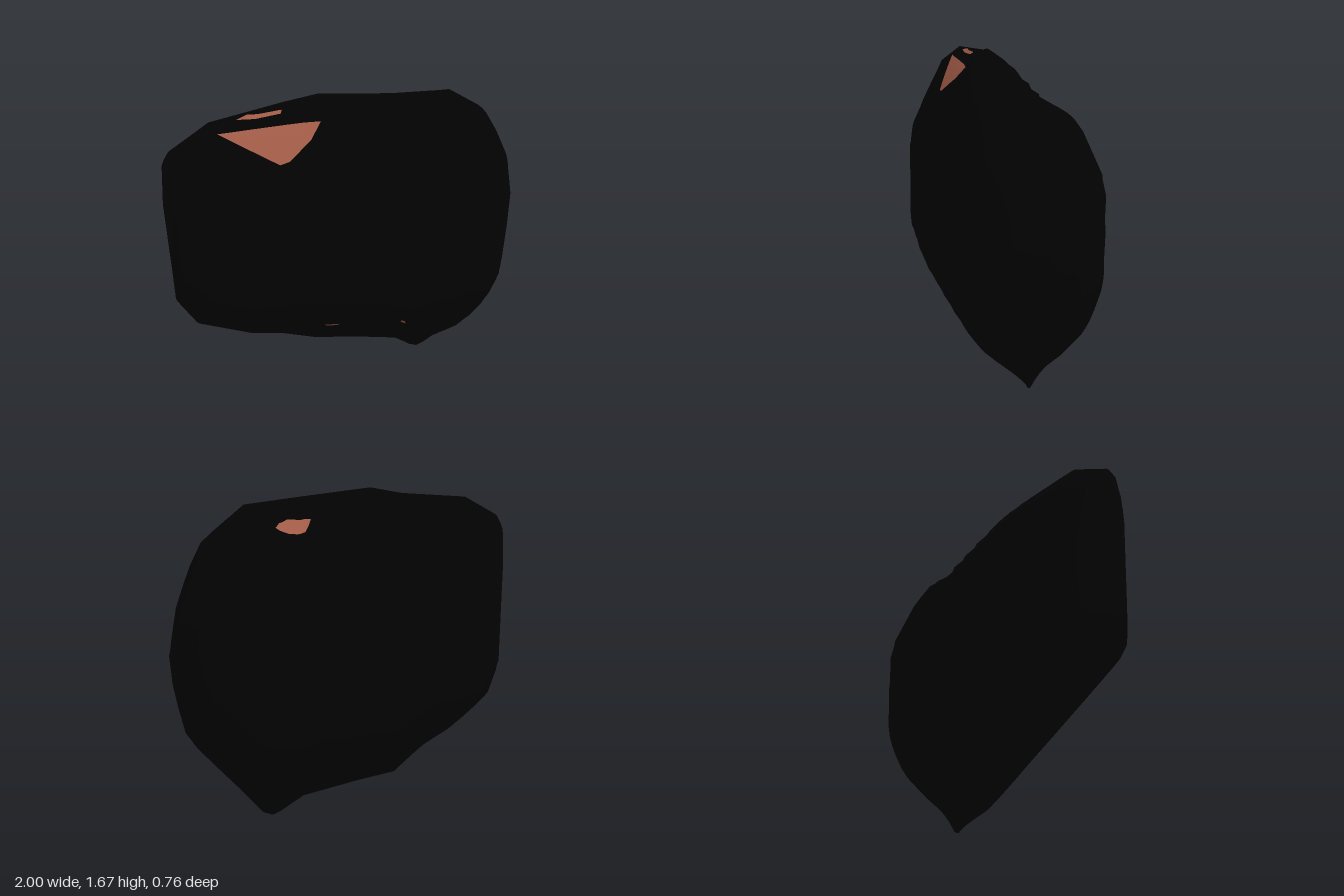
import * as THREE from 'three';

// Rim of the stone, clockwise seen from the front: x, y, z
const RIM = [
  [-1, 1.25, -.07], [-.98, 1.44, -.1], [-.94, 1.5, -.1], [-.72, 1.605, -.12], [-.32, 1.64, -.1],
  [-.16, 1.672, -.04], [.2, 1.635, .05], [.52, 1.605, .09], [.75, 1.44, .01], [.96, 1.13, -.08],
  [1, .9, -.02], [.985, .76, -.03], [.95, .62, -.05], [.87, .47, .05], [.8, .38, .05], [.6, .17, .07],
  [.48, .02, -.01], [.43, 0, -.02], [.39, .015, -.03], [.28, .095, -.08], [0, .155, -.17],
  [-.2, .185, -.22], [-.4, .29, -.17], [-.57, .35, -.13], [-.86, .52, -.09], [-.97, .7, -.05],
].reverse();

// Depth limits along x and along y
const FRONT_X = [[-1, -.06], [-.95, .01], [-.75, .16], [-.47, .28], [0, .38], [.57, .367], [.8, .28], [.95, .13], [1, .03]];
const FRONT_Y = [[0, -.02], [.27, .28], [.45, .34], [.6, .375], [.8, .385], [1, .382], [1.15, .37], [1.52, .265], [1.6, .12], [1.67, -.03]];
const BACK_X = [[-1, -.11], [-.95, -.23], [-.87, -.295], [-.3, -.385], [.2, -.355], [.8, -.27], [.9, -.2], [.95, -.14], [1, -.03]];
const BACK_Y = [[0, -.02], [.16, -.16], [.2, -.24], [.4, -.31], [.75, -.385], [1, -.33], [1.2, -.27], [1.4, -.23], [1.6, -.18], [1.67, -.1]];

function sample(curve, v) {
  for (let i = 1; i < curve.length; i++) {
    const [a, fa] = curve[i - 1], [b, fb] = curve[i];
    if (v <= b) return THREE.MathUtils.lerp(fa, fb, Math.max(0, (v - a) / (b - a)));
  }
  return curve[curve.length - 1][1];
}

// Each side is limited by both curves and by broad chipped planes
const frontZ = (x, y) => Math.min(sample(FRONT_X, x), sample(FRONT_Y, y),
  1.041 + .252 * x - .58 * y, -.106 + .35 * x + .8 * y);
const backZ = (x, y) => Math.max(sample(BACK_X, x), sample(BACK_Y, y),
  -.08 + (y - 1.5) / .65 - .23 * (x - .33) + .9 * Math.min(0, x - .3));

function stoneGeometry() {
  const SUB = 3, RINGS = 48, CY = .85;
  const n = RIM.length * SUB, pos = [], index = [];
  for (let i = 0; i <= RINGS; i++) {
    const t = Math.PI * i / RINGS, s = Math.sin(t);
    const bulge = i === RINGS / 2 ? 0 : Math.sqrt(Math.max(0, 1 - s ** 10));
    for (let j = 0; j < n; j++) {
      const a = RIM[Math.floor(j / SUB)], b = RIM[(Math.floor(j / SUB) + 1) % RIM.length];
      const [rx, ry, rz] = a.map((v, k) => THREE.MathUtils.lerp(v, b[k], (j % SUB) / SUB));
      const x = rx * s, y = CY + (ry - CY) * s;
      const limit = i < RINGS / 2 ? Math.max(rz * s, frontZ(x, y)) : Math.min(rz * s, backZ(x, y));
      pos.push(x, y, THREE.MathUtils.lerp(rz, limit, bulge));
      if (i < RINGS) {
        const k = (j + 1) % n, p = i * n, q = p + n;
        index.push(p + j, q + j, q + k, p + j, q + k, p + k);
      }
    }
  }
  const g = new THREE.BufferGeometry();
  g.setAttribute('position', new THREE.Float32BufferAttribute(pos, 3));
  g.setIndex(index);
  g.computeVertexNormals();
  return g;
}

// A thin coloured patch laid on the stone, projected from the front or from above
function patch(name, stone, outline, fromAbove, material) {
  const STEPS = 8, SUB = 6, n = outline.length * SUB, pos = [], index = [];
  const ray = new THREE.Raycaster();
  const cx = outline.reduce((t, p) => t + p[0], 0) / outline.length;
  const cy = outline.reduce((t, p) => t + p[1], 0) / outline.length;
  for (let i = 0; i <= STEPS; i++) {
    for (let j = 0; j < n; j++) {
      const a = outline[Math.floor(j / SUB)], b = outline[(Math.floor(j / SUB) + 1) % outline.length];
      const f = (j % SUB) / SUB, s = Math.max(.001, i / STEPS);
      const u = cx + (THREE.MathUtils.lerp(a[0], b[0], f) - cx) * s;
      const v = cy + (THREE.MathUtils.lerp(a[1], b[1], f) - cy) * s;
      if (fromAbove) ray.set(new THREE.Vector3(u, 3, v), new THREE.Vector3(0, -1, 0));
      else ray.set(new THREE.Vector3(u, v, 3), new THREE.Vector3(0, 0, -1));
      const hit = ray.intersectObject(stone)[0];
      const p = hit ? hit.point.addScaledVector(hit.face.normal, .005)
        : new THREE.Vector3(u, fromAbove ? 1.5 : v, fromAbove ? v : 0);
      pos.push(p.x, p.y, p.z);
      if (i < STEPS) {
        const k = (j + 1) % n, o = i * n, q = o + n;
        index.push(o + j, q + j, q + k, o + j, q + k, o + k);
      }
    }
  }
  const g = new THREE.BufferGeometry();
  g.setAttribute('position', new THREE.Float32BufferAttribute(pos, 3));
  g.setIndex(index);
  g.computeVertexNormals();
  const mesh = new THREE.Mesh(g, material);
  mesh.name = name;
  return mesh;
}

export function createModel() {
  const group = new THREE.Group();
  group.name = 'stone';
  const dark = new THREE.MeshStandardMaterial({ color: 0x020202 });
  const rust = new THREE.MeshStandardMaterial({ color: 0x9f5a46, side: THREE.DoubleSide });

  const body = new THREE.Mesh(stoneGeometry(), dark);
  body.name = 'stoneBody';
  body.updateMatrixWorld();
  group.add(body);

  // Rust-coloured chips: outline in x, y from the front, or x, z from above
  group.add(
    patch('frontChip', body, [[-.7, 1.56], [-.45, 1.41], [-.4, 1.42], [-.32, 1.47], [-.27, 1.5], [-.2, 1.57]], false, rust),
    patch('ridgeChip', body, [[-.59, -.085], [-.5, -.06], [-.37, -.04], [-.36, -.055], [-.48, -.075], [-.53, -.09]], true, rust),
    patch('backChip', body, [[.22, -.07], [.25, -.05], [.34, -.03], [.4, -.055], [.44, -.09], [.43, -.11], [.39, -.13], [.29, -.13]], true, rust),
    patch('lowerFleck', body, [[-.26, .475], [-.24, .463], [-.19, .458], [-.18, .473]], false, rust),
    patch('lowerSplinter', body, [[.135, .45], [.14, .43], [.175, .405], [.16, .435]], false, rust),
  );
  return group;
}
